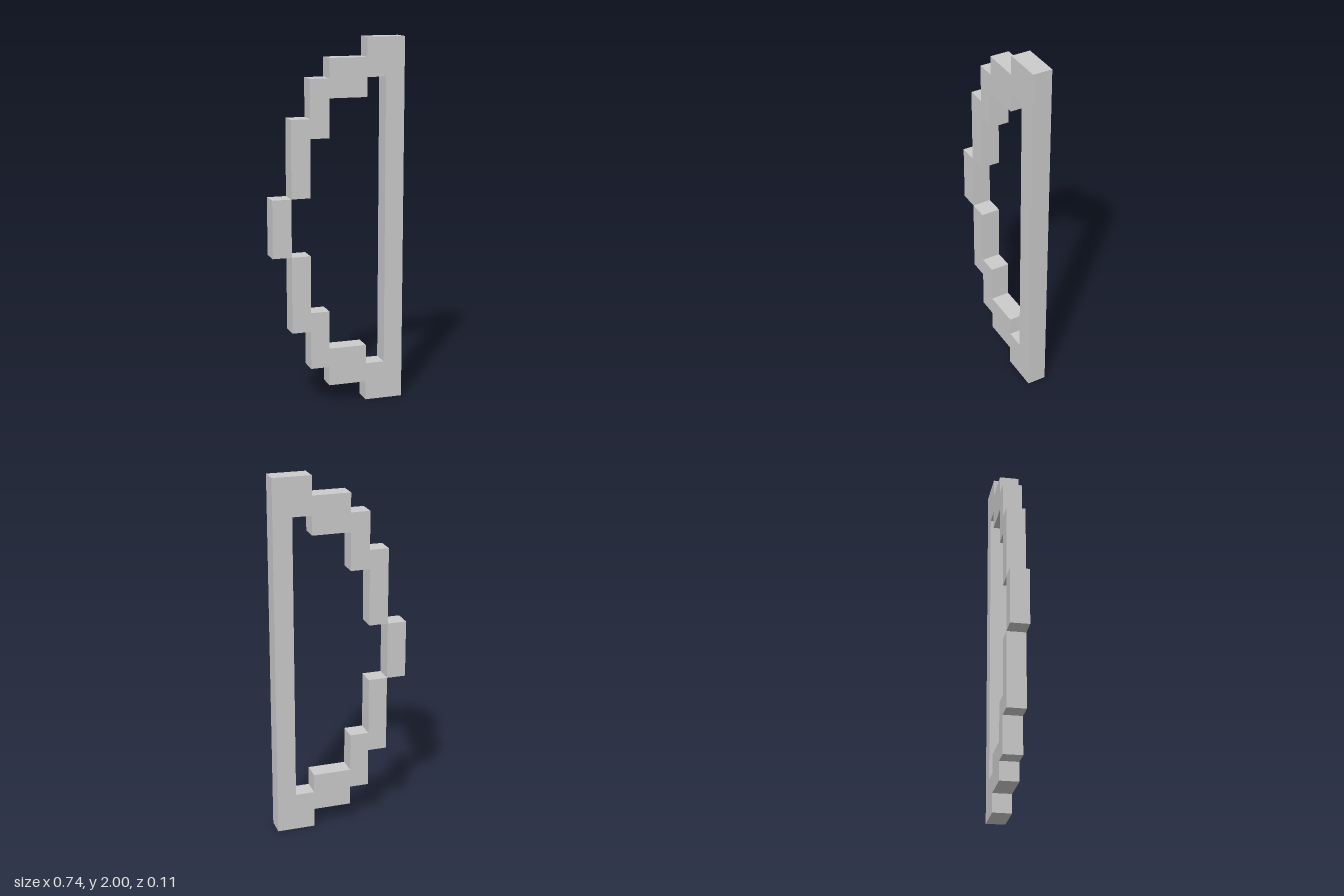
import * as THREE from 'three';

// Everything sits on a block grid: 7 wide, 19 tall, 1 deep
const U = 2 / 19, W = 7, H = 19;

export function createModel() {
  const group = new THREE.Group();
  group.name = 'blockBow';
  const material = new THREE.MeshStandardMaterial({ color: 0xcccccc, flatShading: true });

  // Lower half outline: outer steps up to the limb tip by the grip, inner steps back to the string
  const lower = [
    [7, 0], [5, 0], [5, 1], [3, 1], [3, 2], [2, 2], [2, 4], [1, 4],
    [1, 8], [2, 8], [2, 5], [3, 5], [3, 3], [5, 3], [5, 2], [6, 2],
  ];
  // Upper half is the mirror image, walked in reverse
  const upper = lower.map(([x, y]) => [x, H - y]).reverse();
  const outline = [...lower, ...upper].map(([x, y]) => new THREE.Vector2((x - W / 2) * U, y * U));

  // Stepped limbs joined by the straight string
  const frameGeometry = new THREE.ExtrudeGeometry(new THREE.Shape(outline), { depth: U, bevelEnabled: false });
  frameGeometry.translate(0, 0, -U / 2);
  const limbs = new THREE.Mesh(frameGeometry, material);
  limbs.name = 'limbsAndString';
  group.add(limbs);

  // Grip block, meeting the limbs edge to edge
  const grip = new THREE.Mesh(new THREE.BoxGeometry(U, 3 * U, U), material);
  grip.name = 'grip';
  grip.position.set((0.5 - W / 2) * U, (H / 2) * U, 0);
  group.add(grip);

  return group;
}
